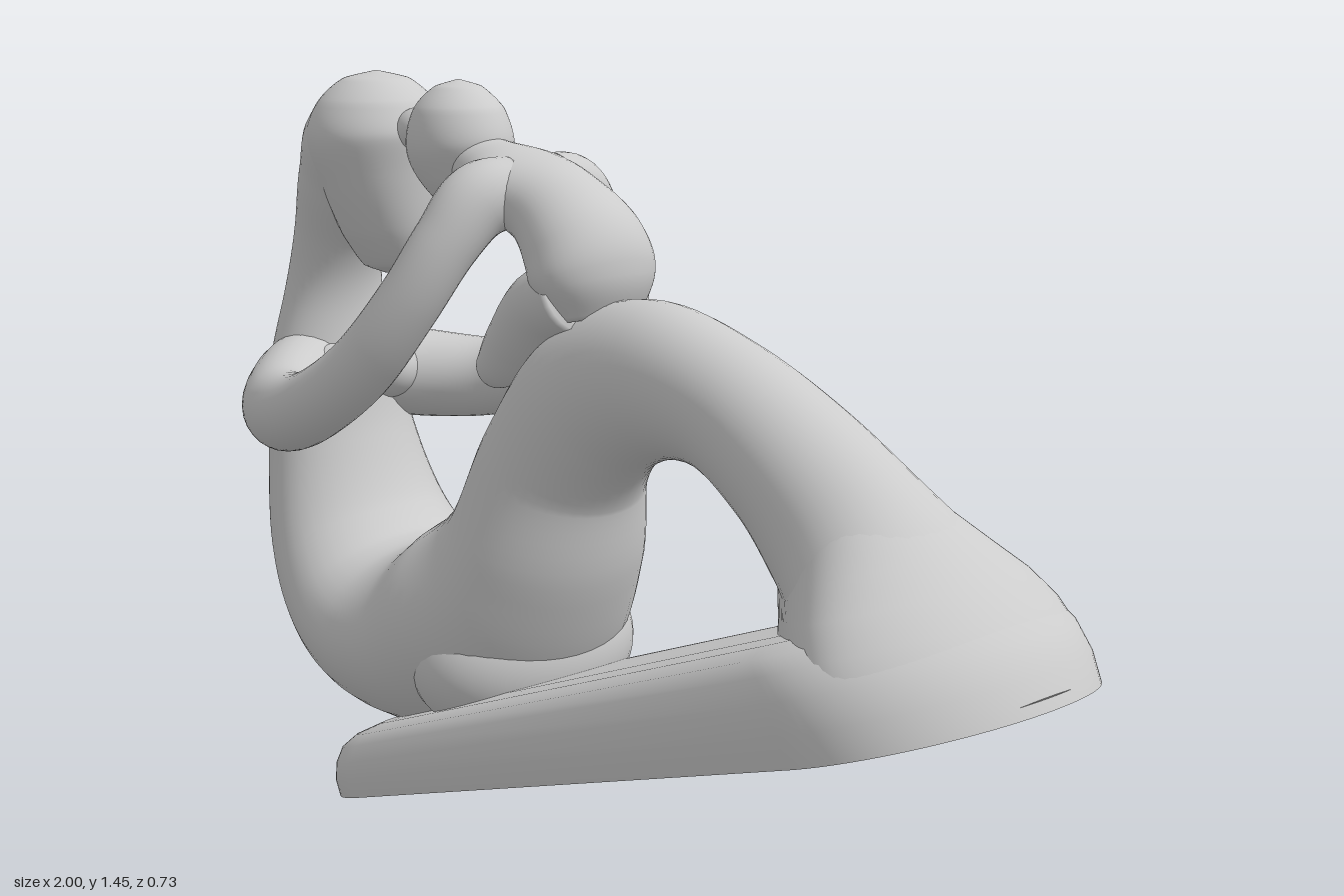
import * as THREE from 'three';
import { toCreasedNormals } from 'three/addons/utils/BufferGeometryUtils.js';

const material = new THREE.MeshStandardMaterial({ color: 0xcccccc });

// Skin a list of closed rings (arrays of Vector3) and cap both ends
function skin(rings) {
  const n = rings[0].length, pos = [], idx = [];
  rings.forEach(r => r.forEach(p => pos.push(p.x, p.y, p.z)));
  for (let i = 0; i < rings.length - 1; i++)
    for (let j = 0; j < n; j++) {
      const k = (j + 1) % n, a = i * n + j, b = i * n + k;
      idx.push(a, b, a + n, b, b + n, a + n);
    }
  [rings[0], rings[rings.length - 1]].forEach((ring, end) => {
    const c = ring.reduce((s, p) => s.add(p), new THREE.Vector3()).divideScalar(n);
    const centre = pos.length / 3, start = end ? (rings.length - 1) * n : 0;
    pos.push(c.x, c.y, c.z);
    for (let j = 0; j < n; j++) {
      const a = start + j, b = start + (j + 1) % n;
      if (end) idx.push(centre, a, b); else idx.push(centre, b, a);
    }
  });
  const g = new THREE.BufferGeometry();
  g.setAttribute('position', new THREE.Float32BufferAttribute(pos, 3));
  g.setIndex(idx);
  g.computeVertexNormals();
  return g;
}

// Sweep an ellipse along stations [x, y, z, radius in plane, radius along ref]
function sweep(stations, ref = new THREE.Vector3(0, 0, 1), steps = 8, sides = 40) {
  const path = new THREE.CatmullRomCurve3(stations.map(s => new THREE.Vector3(s[0], s[1], s[2])));
  const size = new THREE.CatmullRomCurve3(
    stations.map(s => new THREE.Vector3(s[3], s[4] ?? s[3], 0)), false, 'catmullrom', 0.5);
  const count = (stations.length - 1) * steps, rings = [];
  for (let i = 0; i <= count; i++) {
    const t = i / count, p = path.getPoint(t), r = size.getPoint(t), T = path.getTangent(t);
    const B = ref.clone().addScaledVector(T, -ref.dot(T)).normalize();
    const N = new THREE.Vector3().crossVectors(B, T);
    rings.push(Array.from({ length: sides }, (_, j) => {
      const a = j / sides * Math.PI * 2;
      return p.clone().addScaledVector(N, Math.cos(a) * r.x).addScaledVector(B, Math.sin(a) * r.y);
    }));
  }
  return skin(rings);
}

// Stack rounded outlines [height, uMin, uMax, half width, end length] upwards;
// lift scales height and flare scales width along u
function stack(layers, lift, flare, sides = 96) {
  return skin(layers.map(([h, u0, u1, w, e]) => Array.from({ length: sides }, (_, j) => {
    const a = j / sides * Math.PI * 2, s = Math.sin(a);
    const u = s >= 0 ? u1 - e + e * s : u0 + e + e * s;
    return new THREE.Vector3(u, h * lift(u), w * flare(u) * Math.cos(a));
  })));
}

export function createModel() {
  const model = new THREE.Group();
  const add = (name, geometry, parent = model) => {
    const mesh = new THREE.Mesh(geometry, material);
    mesh.name = name;
    parent.add(mesh);
  };
  const ball = (name, x, y, z, rx, ry, rz) =>
    add(name, new THREE.SphereGeometry(1, 40, 28).scale(rx, ry, rz).translate(x, y, z));

  // Tilted base slab, thicker toward the feet
  const base = new THREE.Group();
  base.name = 'base';
  base.position.set(0.18, 0.288, 0);
  base.rotation.z = 0.335;
  model.add(base);
  const slab = stack([
    [0, -0.868, 0.868, 0.316, 0.26], [0.05, -0.866, 0.862, 0.32, 0.26],
    [0.1, -0.855, 0.845, 0.316, 0.26], [0.14, -0.835, 0.815, 0.302, 0.25],
    [0.165, -0.8, 0.78, 0.28, 0.24], [0.18, -0.74, 0.72, 0.235, 0.2],
    [0.185, -0.6, 0.6, 0.15, 0.14],
  ], u => 0.87 + 0.27 * u, () => 1);
  add('baseSlab', toCreasedNormals(slab, 0.9), base);

  // Hem of the legs, flaring out to the rounded end of the slab
  add('feet', stack([
    [0.02, 0.33, 0.866, 0.315, 0.265], [0.08, 0.34, 0.854, 0.314, 0.255],
    [0.15, 0.36, 0.82, 0.298, 0.228], [0.205, 0.375, 0.786, 0.265, 0.204],
    [0.26, 0.38, 0.746, 0.22, 0.182], [0.315, 0.38, 0.705, 0.18, 0.162],
    [0.375, 0.385, 0.655, 0.14, 0.135], [0.42, 0.395, 0.6, 0.1, 0.1],
    [0.44, 0.42, 0.55, 0.05, 0.065],
  ], () => 1, u => 0.55 + 0.45 * THREE.MathUtils.smoothstep(u, 0.4, 0.72)), base);

  // Nape, back, hips, thighs and shins in one continuous sweep
  add('motherBody', sweep([
    [-0.69, 1.39, 0, 0.02, 0.02], [-0.735, 1.33, 0, 0.112, 0.128], [-0.80, 1.225, 0, 0.108, 0.118],
    [-0.855, 1.11, 0, 0.088, 0.1],
    [-0.885, 1.0, 0, 0.09, 0.105], [-0.89, 0.85, 0, 0.108, 0.145], [-0.87, 0.67, 0, 0.125, 0.17],
    [-0.805, 0.485, 0, 0.15, 0.21], [-0.705, 0.38, 0, 0.165, 0.24], [-0.58, 0.34, 0, 0.178, 0.262],
    [-0.435, 0.36, 0, 0.196, 0.27], [-0.31, 0.44, 0, 0.204, 0.262],
    [-0.205, 0.575, 0, 0.17, 0.215], [-0.14, 0.755, 0, 0.15, 0.17],
    [-0.04, 0.885, 0, 0.155, 0.142], [0.1, 0.945, 0, 0.145, 0.125], [0.29, 0.93, 0, 0.118, 0.118],
    [0.46, 0.85, 0, 0.125, 0.13], [0.58, 0.762, 0, 0.142, 0.15], [0.68, 0.678, 0, 0.148, 0.195],
    [0.76, 0.6, 0, 0.125, 0.235],
  ]));
  ball('thighRoot', -0.27, 0.36, 0, 0.165, 0.17, 0.25);

  // Mother's head, tapering to the chin
  add('motherHead', sweep([
    [-0.685, 1.05, 0, 0.01, 0.01], [-0.686, 1.066, 0, 0.062, 0.045], [-0.69, 1.13, 0, 0.1, 0.085],
    [-0.70, 1.23, 0, 0.125, 0.122], [-0.713, 1.32, 0, 0.145, 0.144], [-0.715, 1.39, 0, 0.118, 0.117],
    [-0.715, 1.435, 0, 0.065, 0.065], [-0.715, 1.45, 0, 0.002, 0.002],
  ]));

  // Child's head touching the mother's forehead
  add('childHead', sweep([
    [-0.43, 1.2, 0, 0.004, 0.004], [-0.43, 1.212, 0, 0.045, 0.045], [-0.435, 1.255, 0, 0.085, 0.078],
    [-0.445, 1.32, 0, 0.11, 0.1], [-0.448, 1.39, 0, 0.09, 0.085], [-0.448, 1.432, 0, 0.045, 0.045],
    [-0.448, 1.445, 0, 0.002, 0.002],
  ]));
  ball('foreheadContact', -0.565, 1.342, 0, 0.06, 0.045, 0.05);

  // Child's neck, shoulders, back and seat on the knees
  add('childBody', sweep([
    [-0.42, 1.295, 0, 0.06, 0.06], [-0.345, 1.28, 0, 0.06, 0.08], [-0.26, 1.26, 0, 0.07, 0.12],
    [-0.16, 1.225, 0, 0.083, 0.105], [-0.085, 1.165, 0, 0.1, 0.122], [-0.055, 1.11, 0, 0.09, 0.128],
    [-0.04, 1.04, 0, 0.05, 0.09],
  ]));

  for (const [side, s] of [['left', 1], ['right', -1]]) {
    // Arms loop outward from the mother's back up to the child's shoulders
    add(side + 'Arm', sweep([
      [-0.88, 0.84, 0, 0.085], [-0.86, 0.82, 0.09 * s, 0.096], [-0.79, 0.803, 0.18 * s, 0.092],
      [-0.68, 0.803, 0.26 * s, 0.082], [-0.53, 0.842, 0.297 * s, 0.069],
      [-0.4, 0.93, 0.278 * s, 0.064], [-0.308, 1.06, 0.23 * s, 0.06],
      [-0.265, 1.17, 0.173 * s, 0.062], [-0.25, 1.24, 0.11 * s, 0.07], [-0.235, 1.255, 0.04 * s, 0.065],
    ], new THREE.Vector3(-0.14, 0.17, 0.15 * s).normalize(), 8, 28));
    ball(side + 'Breast', -0.8, 0.83, 0.07 * s, 0.07, 0.065, 0.065);
    // Child's legs resting along the mother's thighs
    add(side + 'ChildLeg', sweep([
      [-0.05, 1.09, 0.05 * s, 0.072], [-0.135, 1.055, 0.056 * s, 0.068], [-0.205, 0.985, 0.06 * s, 0.058],
      [-0.25, 0.935, 0.062 * s, 0.048], [-0.28, 0.92, 0.062 * s, 0.035], [-0.3, 0.915, 0.062 * s, 0.003],
    ], undefined, 6, 24));
  }
  return model;
}
